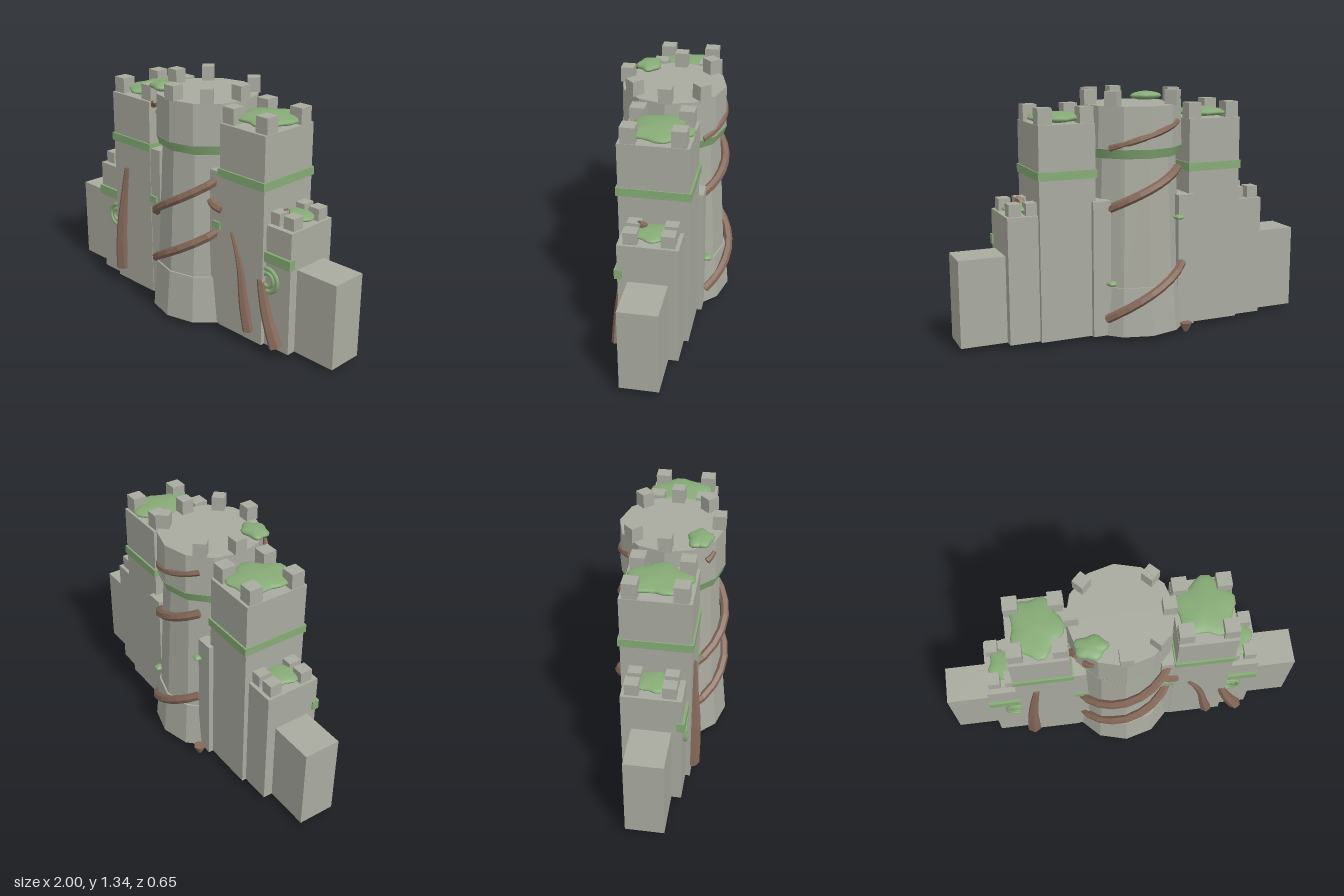
import * as THREE from 'three';

const mat = (name, color, extra = {}) =>
  Object.assign(new THREE.MeshStandardMaterial({ color, ...extra }), { name });

export function createModel() {
  const model = new THREE.Group();
  model.name = 'castle';
  const stone = mat('stone', 0xa9aa9f, { flatShading: true });
  const moss = mat('moss', 0x86ab76);
  const wood = mat('wood', 0x86695a, { flatShading: true });
  const CZ = 0.02; // depth of the tower centre

  const add = (name, geo, material, x = 0, y = 0, z = 0) => {
    const m = new THREE.Mesh(geo, material);
    m.name = name;
    m.position.set(x, y, z);
    model.add(m);
    return m;
  };
  // box given by its limits on each axis
  const box = (name, material, x0, x1, y0, y1, z0, z1) =>
    add(name, new THREE.BoxGeometry(Math.abs(x1 - x0), y1 - y0, z1 - z0), material,
      (x0 + x1) / 2, (y0 + y1) / 2, (z0 + z1) / 2);
  // twelve-sided drum
  const drum = (name, material, rTop, rBottom, y0, y1) =>
    add(name, new THREE.CylinderGeometry(rTop, rBottom, y1 - y0, 12), material, 0, (y0 + y1) / 2, CZ);

  // flattened, lobed clump
  const clump = (name, x, y, z, rx, ry, rz, phase = 0) => {
    const g = new THREE.SphereGeometry(1, 24, 12);
    const p = g.attributes.position;
    for (let i = 0; i < p.count; i++) {
      const a = Math.atan2(p.getZ(i), p.getX(i));
      const k = 0.92 + 0.1 * Math.sin(5 * a + phase) + 0.04 * Math.sin(3 * a + 2 * phase);
      p.setXYZ(i, p.getX(i) * k * rx, p.getY(i) * ry, p.getZ(i) * k * rz);
    }
    g.computeVertexNormals();
    add(name, g, moss, x, y, z);
  };

  // tapering six-sided branch with flat ends
  const branch = (name, points, r0, r1) => {
    const curve = new THREE.CatmullRomCurve3(points.map(p => new THREE.Vector3(...p)));
    const n = 10, sides = 6;
    const g = new THREE.TubeGeometry(curve, n, 1, sides);
    const p = g.attributes.position, v = new THREE.Vector3();
    for (let i = 0; i <= n; i++) {
      const own = curve.getPointAt(i / n);
      const cap = i === 0 || i === n;
      const centre = curve.getPointAt((i === 0 ? 1 : i === n ? n - 1 : i) / n);
      const r = cap ? 0 : r0 + (r1 - r0) * (i - 1) / (n - 2);
      for (let j = 0; j <= sides; j++) {
        const k = i * (sides + 1) + j;
        v.fromBufferAttribute(p, k).sub(own).multiplyScalar(r).add(centre);
        p.setXYZ(k, v.x, v.y, v.z);
      }
    }
    g.computeVertexNormals();
    add(name, g, wood);
  };

  // vine climbing part of the round tower, angles in degrees from the front
  const vine = (a0, a1, y0, y1, radius, r = 0.024) => {
    const pts = [];
    for (let i = 0; i <= 6; i++) {
      const a = THREE.MathUtils.degToRad(a0 + (a1 - a0) * i / 6);
      pts.push([radius * Math.sin(a), y0 + (y1 - y0) * i / 6, CZ + radius * Math.cos(a)]);
    }
    branch('vine', pts, r, r);
  };

  // round keep
  drum('keepBase', stone, 0.293, 0.316, 0.03, 0.295);
  drum('keepShaft', stone, 0.25, 0.283, 0.295, 0.99);
  drum('keepMossBand', moss, 0.284, 0.268, 0.99, 1.04);
  drum('keepCrown', stone, 0.277, 0.282, 1.04, 1.265);
  for (let i = 0; i < 8; i++) {
    if (i === 4 || i === 7) continue; // fallen merlons
    const a = i * Math.PI / 4;
    const m = add('keepMerlon', new THREE.BoxGeometry(0.068, 0.08, 0.068), stone,
      0.245 * Math.sin(a), 1.303, CZ + 0.245 * Math.cos(a));
    m.rotation.y = a;
  }

  // mirrored towers and walls
  for (const s of [-1, 1]) {
    box('tallTower', stone, s * 0.275, s * 0.585, 0.03, 1.18, -0.16, 0.2);
    box('tallTowerMossBand', moss, s * 0.268, s * 0.592, 0.895, 0.94, -0.17, 0.21);
    box('smallTower', stone, s * 0.5, s * 0.75, 0.03, 0.71, -0.135, 0.175);
    box('smallTowerMossBand', moss, s * 0.575, s * 0.757, 0.513, 0.568, 0.15, 0.19);
    box('outerWall', stone, s * 0.7, s, 0.03, 0.5, -0.082, 0.123);
    box('frontPilaster', stone, s * 0.2, s * 0.29, 0.03, 0.915, 0, 0.197);
    box('backPilaster', stone, s * 0.2, s * 0.3, 0.03, 0.77, -0.187, 0);
    box('pilasterMoss', moss, s * 0.225, s * 0.28, 0.597, 0.638, 0.17, 0.208);
    for (const t of [-1, 1]) {
      for (const x of [0.315, 0.543])
        add('tallMerlon', new THREE.BoxGeometry(0.077, 0.088, 0.077), stone, s * x, 1.222, CZ + t * 0.126);
      for (const x of [0.61, 0.703])
        add('smallMerlon', new THREE.BoxGeometry(0.066, 0.068, 0.07), stone, s * x, 0.742, 0.015 + t * 0.095);
    }
    // round shield on the small tower
    add('wreath', new THREE.TorusGeometry(0.065, 0.012, 8, 24), moss, s * 0.605, 0.412, 0.18);
    add('wreathInner', new THREE.TorusGeometry(0.036, 0.01, 8, 20), moss, s * 0.605, 0.412, 0.18);
  }

  // moss clumps
  clump('roofMoss', -0.43, 1.205, 0.015, 0.145, 0.025, 0.18, 1);
  clump('roofMoss', 0.435, 1.205, 0.01, 0.165, 0.027, 0.175, 2.6);
  clump('roofMoss', -0.64, 0.735, 0.015, 0.095, 0.02, 0.1, 0.5);
  clump('roofMoss', 0.645, 0.735, 0.015, 0.095, 0.02, 0.11, 2);
  clump('keepMoss', -0.165, 1.288, 0.185, 0.092, 0.025, 0.07, 1.6);
  clump('mossTuft', 0.2, 0.32, -0.2, 0.03, 0.015, 0.03);
  clump('mossTuft', -0.2, 0.65, -0.19, 0.03, 0.013, 0.03);

  // vines round the keep
  vine(-78, 78, 0.19, 0.63, 0.295);
  vine(-78, 78, 0.48, 0.92, 0.29);
  vine(122, 236, 0.09, 0.43, 0.31);
  vine(122, 236, 0.7, 0.95, 0.278);
  vine(122, 236, 1.03, 1.19, 0.272, 0.018);
  branch('twig', [[-0.27, 1.09, 0.12], [-0.255, 1.11, 0.14], [-0.24, 1.13, 0.17]], 0.022, 0.015);
  branch('twig', [[-0.21, 1.18, 0.22], [-0.185, 1.2, 0.245], [-0.155, 1.22, 0.26]], 0.018, 0.01);
  branch('twig', [[0.2, 0.75, 0.2], [0.24, 0.73, 0.21], [0.3, 0.71, 0.2]], 0.022, 0.022);
  branch('twig', [[0.6, 0.69, 0.04], [0.62, 0.76, 0.07], [0.645, 0.775, 0.09]], 0.025, 0.018);

  // leaning trunks on the front
  branch('trunk', [[-0.55, 0.02, 0.2], [-0.53, 0.35, 0.215], [-0.505, 0.57, 0.205], [-0.465, 0.83, 0.195]], 0.042, 0.018);
  branch('trunk', [[0.515, 0.02, 0.2], [0.475, 0.22, 0.215], [0.43, 0.46, 0.21], [0.335, 0.67, 0.195]], 0.034, 0.01);
  branch('trunk', [[0.705, 0.015, 0.195], [0.64, 0.17, 0.2], [0.59, 0.31, 0.195], [0.55, 0.45, 0.18]], 0.038, 0.022);

  // root tips under the base
  for (const [x, z] of [[-0.19, 0.12], [0.3, 0], [-0.24, -0.21], [0.02, -0.1]])
    add('rootTip', new THREE.CylinderGeometry(0.036, 0.012, 0.05, 6), wood, x, 0.025, z);

  return model;
}
